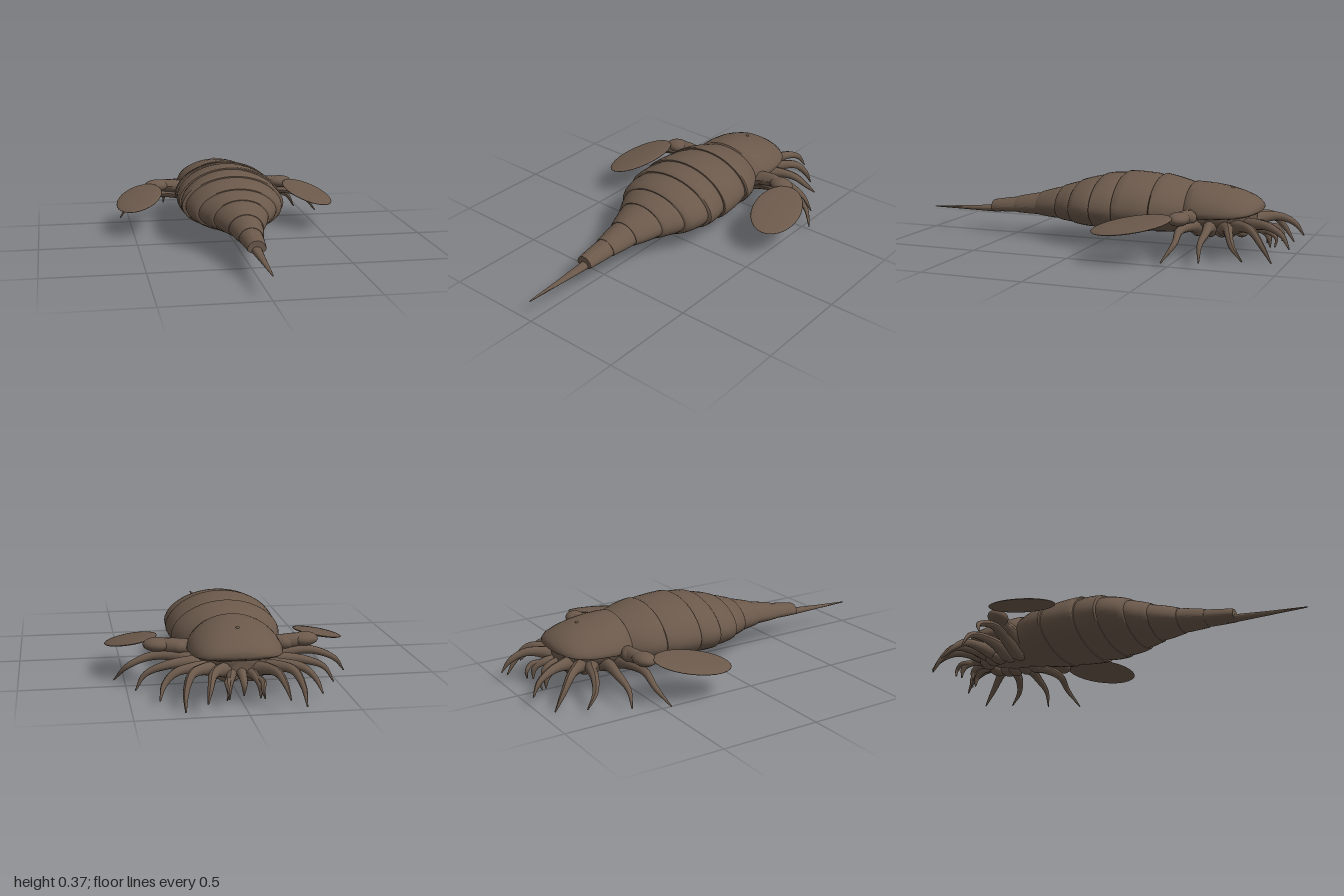
import * as THREE from 'three';
import { toCreasedNormals } from 'three/addons/utils/BufferGeometryUtils.js';

const shell = new THREE.MeshStandardMaterial({ color: 0x6b594b });
shell.name = 'brown shell';

// Closed loft along z; each ring is [z, halfWidth, edgeY, topY, bottomY]
function loft(rings, n = 40) {
  const pos = [], idx = [];
  for (const [z, w, mid, top, bot] of rings) {
    for (let j = 0; j < n; j++) {
      const a = (j / n) * Math.PI * 2, s = Math.sin(a);
      const y = s > 0 ? mid + (top - mid) * Math.pow(s, 1.12) : mid + (mid - bot) * s;
      pos.push(w * Math.cos(a), y, z);
    }
  }
  for (let i = 0; i < rings.length - 1; i++) {
    for (let j = 0; j < n; j++) {
      const a = i * n + j, b = i * n + (j + 1) % n;
      idx.push(a, b, a + n, b, b + n, a + n);
    }
  }
  const first = rings[0], last = rings[rings.length - 1], c = pos.length / 3, e = (rings.length - 1) * n;
  pos.push(0, first[2], first[0], 0, last[2], last[0]);
  for (let j = 0; j < n; j++) {
    const k = (j + 1) % n;
    idx.push(c, k, j, c + 1, e + j, e + k);
  }
  const g = new THREE.BufferGeometry();
  g.setAttribute('position', new THREE.Float32BufferAttribute(pos, 3));
  g.setIndex(idx);
  return toCreasedNormals(g, 0.75);
}

// Tube through points whose radius follows a list of values
function taperedTube(points, radii) {
  const curve = new THREE.CatmullRomCurve3(points.map(p => new THREE.Vector3(...p)));
  const seg = 24, sides = 10;
  const g = new THREE.TubeGeometry(curve, seg, 1, sides);
  const p = g.attributes.position, v = new THREE.Vector3();
  for (let i = 0; i <= seg; i++) {
    const c = curve.getPointAt(i / seg);
    const f = (i / seg) * (radii.length - 1), k = Math.min(Math.floor(f), radii.length - 2);
    const r = THREE.MathUtils.lerp(radii[k], radii[k + 1], f - k);
    for (let j = 0; j <= sides; j++) {
      const q = i * (sides + 1) + j;
      v.fromBufferAttribute(p, q).sub(c).multiplyScalar(r).add(c);
      p.setXYZ(q, v.x, v.y, v.z);
    }
  }
  g.computeVertexNormals();
  return g;
}

// Overall body outline: [z, halfWidth, edgeY, topY, bottomY]
const outline = [
  [-0.52, 0.20, 0.20, 0.33, 0.095], [-0.40, 0.25, 0.20, 0.352, 0.085],
  [-0.30, 0.268, 0.20, 0.37, 0.078], [-0.13, 0.27, 0.20, 0.372, 0.07],
  [0.0, 0.262, 0.20, 0.35, 0.076], [0.10, 0.225, 0.195, 0.32, 0.088],
  [0.20, 0.155, 0.185, 0.285, 0.10], [0.35, 0.09, 0.165, 0.238, 0.115],
  [0.49, 0.062, 0.15, 0.205, 0.12], [0.64, 0.044, 0.14, 0.178, 0.117],
];
function bodyRing(z, scale) {
  let i = 0;
  while (i < outline.length - 2 && z > outline[i + 1][0]) i++;
  const a = outline[i], b = outline[i + 1];
  const t = THREE.MathUtils.clamp((z - a[0]) / (b[0] - a[0]), 0, 1);
  const [, w, mid, top, bot] = a.map((q, k) => THREE.MathUtils.lerp(q, b[k], t));
  return [z, w * scale, mid, mid + (top - mid) * scale, mid + (bot - mid) * scale];
}

export function createModel() {
  const model = new THREE.Group();
  const add = (name, geometry, parent = model) => {
    const m = new THREE.Mesh(geometry, shell);
    m.name = name;
    parent.add(m);
    return m;
  };
  const blob = (name, parent, position, size) => {
    const m = add(name, new THREE.SphereGeometry(1, 28, 18), parent);
    m.position.set(...position);
    m.scale.set(...size);
    return m;
  };

  // Overlapping back plates, each stepping down into the next
  const cuts = [-0.48, -0.32, -0.13, -0.01, 0.12, 0.22, 0.355, 0.49, 0.635];
  for (let i = 0; i < cuts.length - 1; i++) {
    const a = cuts[i], len = cuts[i + 1] - a;
    const rings = [[-0.15, 0.9], [0, 0.945], [0.25, 0.98], [0.5, 1], [0.75, 1.01], [0.96, 1.01], [1, 0.985], [1, 0.9]]
      .map(([t, s]) => bodyRing(a + t * len, s));
    add('bodySegment' + (i + 1), loft(rings));
  }

  // Tail spike
  add('tailSpike', loft([[0.6, 0.027, 0.131, 0.155, 0.113], [0.64, 0.025, 0.13, 0.15, 0.113],
    [0.8, 0.015, 0.125, 0.136, 0.115], [0.99, 0.004, 0.12, 0.123, 0.117], [1.0, 0.001, 0.12, 0.121, 0.119]], 16));

  // Domed head shield with a thin rim
  add('headShield', loft([
    [-0.828, 0.04, 0.222, 0.235, 0.212], [-0.82, 0.095, 0.218, 0.25, 0.205], [-0.80, 0.145, 0.212, 0.266, 0.195],
    [-0.77, 0.18, 0.207, 0.285, 0.185], [-0.72, 0.203, 0.202, 0.304, 0.175], [-0.66, 0.215, 0.20, 0.321, 0.17],
    [-0.58, 0.22, 0.198, 0.333, 0.165], [-0.52, 0.215, 0.198, 0.338, 0.16], [-0.485, 0.205, 0.198, 0.337, 0.16],
    [-0.475, 0.195, 0.198, 0.325, 0.165]]));
  blob('eyeBump', model, [0, 0.314, -0.675], [0.009, 0.009, 0.009]);

  // Underside of the head
  add('headUnderside', loft([[-0.79, 0.06, 0.19, 0.2, 0.14], [-0.74, 0.13, 0.19, 0.22, 0.115],
    [-0.62, 0.18, 0.19, 0.22, 0.095], [-0.5, 0.19, 0.19, 0.22, 0.092], [-0.42, 0.17, 0.19, 0.22, 0.09]]));
  add('mouthpart', taperedTube([[0, 0.14, -0.74], [0, 0.13, -0.82], [0, 0.1, -0.86], [0, 0.05, -0.855]],
    [0.03, 0.022, 0.016, 0.003]));

  // Walking legs, front to rear
  const legs = [
    [[0.05, 0.14, -0.74], [0.11, 0.16, -0.82], [0.145, 0.16, -0.89], [0.165, 0.125, -0.96], [0.182, 0.065, -1.0]],
    [[0.08, 0.13, -0.69], [0.17, 0.155, -0.77], [0.23, 0.15, -0.83], [0.262, 0.09, -0.885], [0.27, 0.01, -0.935]],
    [[0.09, 0.125, -0.65], [0.2, 0.145, -0.705], [0.29, 0.135, -0.735], [0.345, 0.09, -0.765], [0.37, 0.03, -0.82]],
    [[0.09, 0.12, -0.59], [0.2, 0.145, -0.61], [0.32, 0.14, -0.63], [0.42, 0.10, -0.63], [0.465, 0.028, -0.64]],
    [[0.09, 0.12, -0.53], [0.24, 0.155, -0.535], [0.38, 0.155, -0.52], [0.49, 0.115, -0.53], [0.555, 0.036, -0.485]],
  ];
  for (const s of [1, -1]) {
    const side = new THREE.Group();
    side.name = s > 0 ? 'leftLimbs' : 'rightLimbs';
    model.add(side);
    const mirror = pts => pts.map(([x, y, z]) => [x * s, y, z]);
    legs.forEach((pts, i) => {
      add('leg' + (i + 1), taperedTube(mirror(pts), [0.042, 0.032, 0.024, 0.019, 0.013, 0.003]), side);
      blob('legBase' + (i + 1), side, [pts[0][0] * s, 0.112, pts[0][2]], [0.055, 0.03, 0.032]);
    });

    // Small pincers beneath the front rim
    add('pincer', taperedTube(mirror([[0.04, 0.13, -0.75], [0.055, 0.13, -0.83], [0.07, 0.1, -0.875], [0.07, 0.045, -0.885]]),
      [0.03, 0.024, 0.018, 0.014, 0.003]), side);
    add('pincerFinger', taperedTube(mirror([[0.06, 0.125, -0.83], [0.08, 0.12, -0.885], [0.075, 0.09, -0.915], [0.085, 0.05, -0.91]]),
      [0.016, 0.014, 0.01, 0.003]), side);

    // Swimming arm and its flat paddle
    add('paddleArm', taperedTube(mirror([[0.12, 0.17, -0.5], [0.22, 0.195, -0.52], [0.3, 0.205, -0.52], [0.38, 0.205, -0.49]]),
      [0.05, 0.038, 0.035, 0.025]), side);
    blob('paddleElbow', side, [0.25 * s, 0.198, -0.525], [0.045, 0.034, 0.04]);
    blob('paddleJoint', side, [0.35 * s, 0.207, -0.508], [0.068, 0.033, 0.05]).rotation.y = -0.15 * s;
    const paddle = blob('paddle', side, [0.461 * s, 0.185, -0.31], [0.122, 0.014, 0.195]);
    const normal = new THREE.Vector3(0.2 * s, 1, 0.13).normalize();
    const along = new THREE.Vector3(0.22 * s, -0.17, 0.97).normalize();
    const across = new THREE.Vector3().crossVectors(normal, along).normalize();
    paddle.quaternion.setFromRotationMatrix(new THREE.Matrix4().makeBasis(across, normal, along));
  }
  return model;
}
